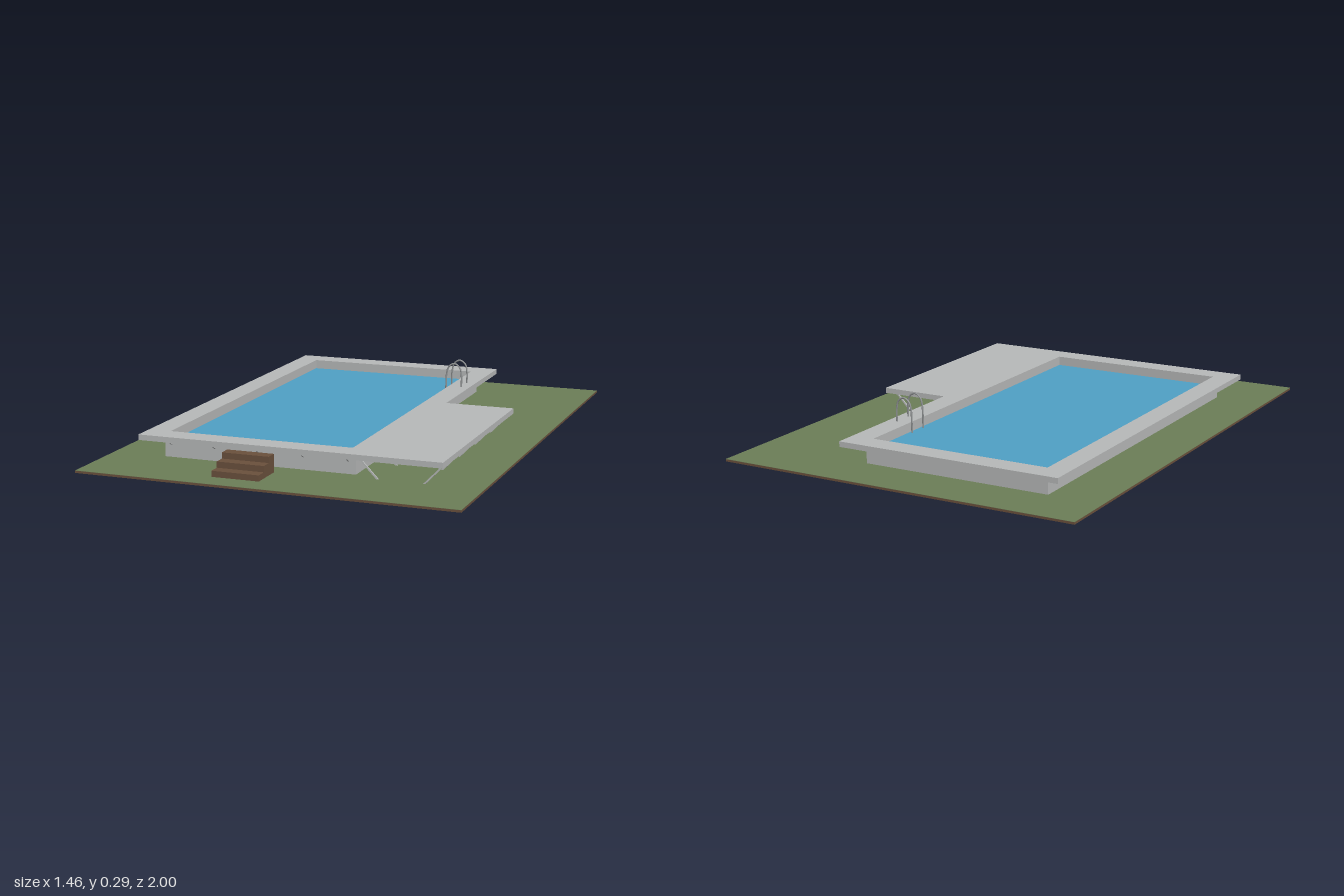
import * as THREE from 'three';

const mat = (name, color, side = THREE.FrontSide) => {
  const m = new THREE.MeshStandardMaterial({ color, side });
  m.name = name;
  return m;
};

export function createModel() {
  const group = new THREE.Group();
  const concrete = mat('pale grey', 0xb6b8b8);
  const grass = mat('grass green', 0x6b7d57);
  const brown = mat('earth brown', 0x6a503c);
  const water = mat('water blue', 0x4f9fc4, THREE.DoubleSide);
  const deepBlue = mat('deep blue', 0x2f6ba7, THREE.DoubleSide);
  const steel = mat('steel grey', 0x909394);

  const add = (name, geometry, material, parent = group) => {
    const mesh = new THREE.Mesh(geometry, material);
    mesh.name = name;
    parent.add(mesh);
    return mesh;
  };
  const subgroup = (name) => {
    const g = new THREE.Group();
    g.name = name;
    group.add(g);
    return g;
  };

  // Plan coordinates [x, z]
  const rect = (x0, x1, z0, z1) => [[x0, z0], [x1, z0], [x1, z1], [x0, z1]];
  const toPoints = (list) => list.map(([x, z]) => new THREE.Vector2(x, z));
  const basin = rect(-0.505, 0.222, -0.772, 0.678);

  // Horizontal slab with the basin cut out, hanging down from its top height
  const slab = (name, outline, top, depth, material) => {
    const shape = new THREE.Shape(toPoints(outline));
    shape.holes.push(new THREE.Path(toPoints(basin)));
    const g = new THREE.ExtrudeGeometry(shape, { depth, bevelEnabled: false });
    g.rotateX(Math.PI / 2);
    g.translate(0, top, 0);
    return add(name, g, material);
  };

  // Ground, pool wall and L-shaped deck
  const plot = rect(-0.73, 0.73, -1, 1);
  slab('soil', plot, 0.0935, 0.0085, brown);
  slab('grass', plot, 0.0945, 0.001, grass);
  slab('poolWall', rect(-0.517, 0.242, -0.79, 0.7), 0.167, 0.073, concrete);
  slab('deck', [[-0.593, -0.862], [0.312, -0.862], [0.312, -0.138],
    [0.59, -0.138], [0.59, 0.768], [-0.593, 0.768]], 0.187, 0.021, concrete);

  // Water surface and pool floor
  const sheet = (name, y, material) => {
    const g = new THREE.PlaneGeometry(0.727, 1.45).rotateX(-Math.PI / 2);
    add(name, g, material).position.set(-0.1415, y, -0.047);
  };
  sheet('waterSurface', 0.15, water);
  sheet('poolFloor', 0, deepBlue);

  // Square bar between two points
  const bar = (name, a, b, size, parent) => {
    const from = new THREE.Vector3(...a), to = new THREE.Vector3(...b);
    const m = add(name, new THREE.BoxGeometry(size, size, from.distanceTo(to)), concrete, parent);
    m.position.copy(from).add(to).multiplyScalar(0.5);
    m.lookAt(to);
  };

  // Diagonal brackets under the overhanging deck edge
  const brackets = subgroup('deckBrackets');
  for (let i = 0; i < 5; i++) {
    const x = -0.49 + i * 0.176;
    bar('frontBracket', [x, 0.143, 0.698], [x, 0.168, 0.74], 0.006, brackets);
    bar('backBracket', [x, 0.143, -0.788], [x, 0.168, -0.83], 0.006, brackets);
  }
  for (let i = 0; i < 9; i++) {
    const z = -0.76 + i * 0.179;
    bar('rightBracket', [-0.515, 0.143, z], [-0.558, 0.168, z], 0.006, brackets);
    if (i < 4) bar('leftBracket', [0.24, 0.143, z], [0.275, 0.168, z], 0.006, brackets);
  }

  // Slanted legs under the wide terrace
  const legs = subgroup('terraceLegs');
  for (let i = 0; i < 5; i++) {
    const z = 0.73 - i * 0.204;
    bar('innerLeg', [0.265, 0.166, z], [0.337, 0.092, z], 0.006, legs);
    bar('outerLeg', [0.58, 0.166, z], [0.508, 0.092, z], 0.006, legs);
  }

  // Entry steps
  const steps = subgroup('entrySteps');
  [[0.117, 0.908], [0.14, 0.863], [0.163, 0.818]].forEach(([top, front], i) => {
    const bottom = 0.094 + i * 0.023;
    add('step', new THREE.BoxGeometry(0.184, top - bottom, front - 0.772), brown, steps)
      .position.set(-0.138, (top + bottom) / 2, (front + 0.772) / 2);
  });

  // Ladder: two hooped rails and the rungs between them
  const ladder = subgroup('poolLadder');
  const rail = [[0.276, 0.183], [0.276, 0.235], [0.268, 0.268], [0.244, 0.283],
    [0.22, 0.268], [0.211, 0.235], [0.209, 0.18], [0.207, 0.1], [0.207, 0.055],
    [0.21, 0.033], [0.219, 0.023]];
  for (const z of [-0.455, -0.533]) {
    const curve = new THREE.CatmullRomCurve3(rail.map(([x, y]) => new THREE.Vector3(x, y, z)));
    add('rail', new THREE.TubeGeometry(curve, 48, 0.0035, 8), steel, ladder);
  }
  for (const y of [0.065, 0.105, 0.14]) {
    add('rung', new THREE.BoxGeometry(0.012, 0.004, 0.078), steel, ladder)
      .position.set(0.206, y, -0.494);
  }
  return group;
}
